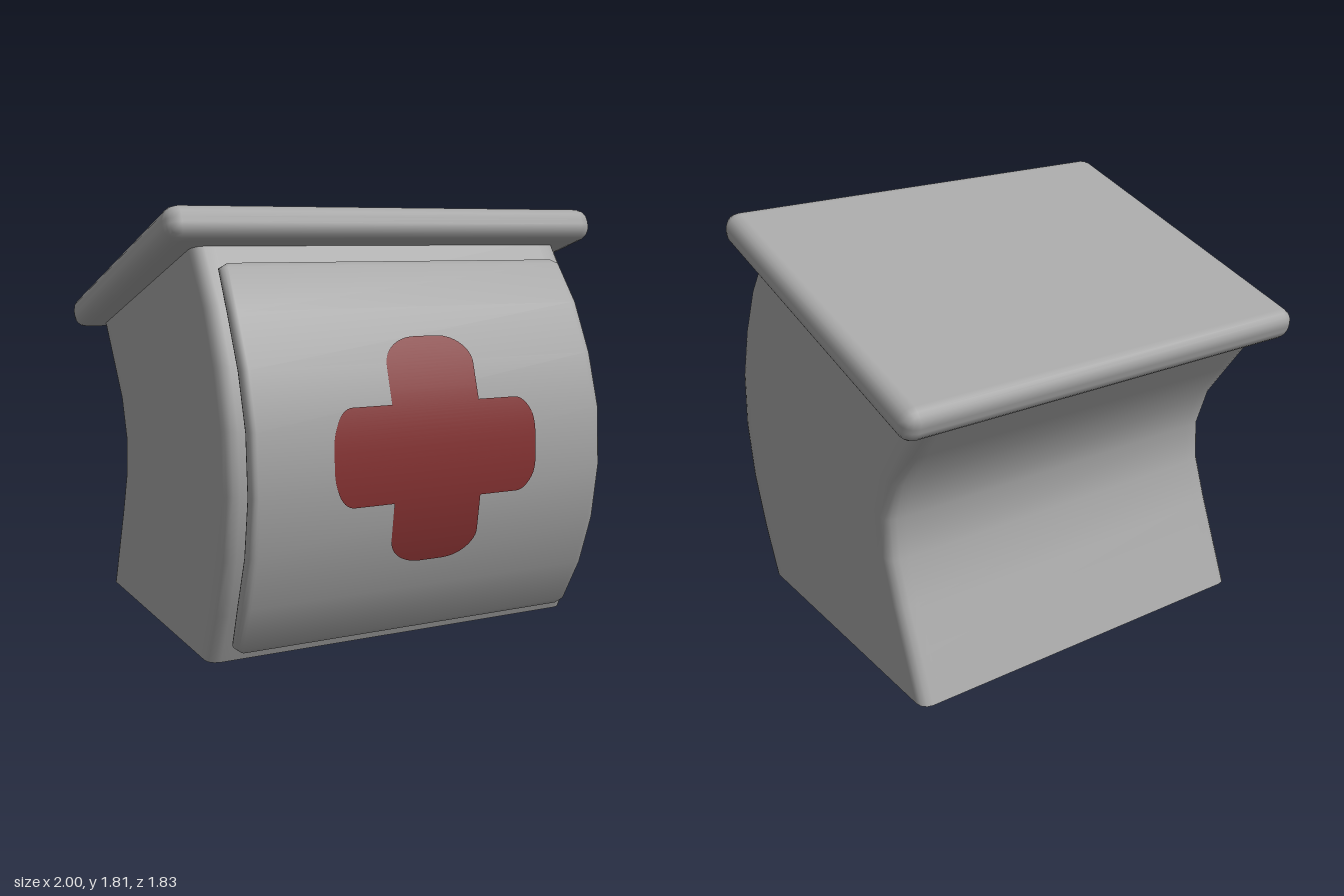
import * as THREE from 'three';
import { toCreasedNormals } from 'three/addons/utils/BufferGeometryUtils.js';
import { RoundedBoxGeometry } from 'three/addons/geometries/RoundedBoxGeometry.js';

// Solid with rounded-rectangle rings spanning a front and a back [z, y] profile.
function loft(front, back, widths, radius) {
  const pos = [], idx = [];
  let n = 0;
  front.forEach(([fz, fy], i) => {
    const [bz, by] = back[i];
    const hw = widths[i];
    const len = Math.hypot(fz - bz, fy - by);
    const r = Math.min(radius, len * 0.45);
    const sup = Math.min(r, len / 2 - r) * 0.9;
    const ring = [];
    for (let c = 0; c < 4; c++) {
      const cx = (c === 0 || c === 3 ? 1 : -1) * (hw - r);
      const cz = (c < 2 ? -1 : 1) * (len / 2 - r);
      for (let k = -1; k <= 4; k++) {
        const a = (c + Math.min(Math.max(k, 0), 3) / 3) * Math.PI / 2;
        const s = k < 0 ? -sup : k > 3 ? sup : 0; // keeps the flat sides flat
        ring.push([cx + r * Math.cos(a) - s * Math.sin(a), cz - r * Math.sin(a) - s * Math.cos(a)]);
      }
    }
    n = ring.length;
    for (const [x, z] of ring) {
      const t = 0.5 + z / len;
      pos.push(x, by + (fy - by) * t, bz + (fz - bz) * t);
    }
  });
  const rows = front.length;
  const bottom = rows * n, top = bottom + 1;
  for (const i of [0, rows - 1]) {
    pos.push(0, (front[i][1] + back[i][1]) / 2, (front[i][0] + back[i][0]) / 2);
  }
  for (let j = 0; j < n; j++) {
    const k = (j + 1) % n;
    for (let i = 0; i < rows - 1; i++) {
      const a = i * n + j, b = i * n + k;
      idx.push(a, b, b + n, a, b + n, a + n);
    }
    idx.push(bottom, k, j, top, (rows - 1) * n + j, (rows - 1) * n + k);
  }
  const geo = new THREE.BufferGeometry();
  geo.setAttribute('position', new THREE.Float32BufferAttribute(pos, 3));
  geo.setIndex(idx);
  return toCreasedNormals(geo, 1.0);
}

// Depth of a [z, y] profile at height y
function depthAt(profile, y) {
  let i = 0;
  while (i < profile.length - 2 && profile[i + 1][1] < y) i++;
  const [z0, y0] = profile[i], [z1, y1] = profile[i + 1];
  return z0 + (z1 - z0) * (y - y0) / (y1 - y0);
}

// Half width at height y of a bar with rounded corners
function barWidth(y, cy, hw, hh, rx, ry) {
  const d = Math.min(1, Math.max(0, (Math.abs(y - cy) - (hh - ry)) / ry));
  return hw - rx + rx * Math.sqrt(1 - d * d);
}

// Thin cross following the curve of the door
function crossGeometry(profile) {
  const pos = [], nor = [], idx = [];
  const upright = y => barWidth(y, 0.843, 0.2, 0.453, 0.15, 0.11);
  const bar = y => barWidth(y, 0.845, 0.465, 0.195, 0.09, 0.15);
  const sections = [[0.39, 0.65, upright], [0.65, 1.04, bar], [1.04, 1.296, upright]];
  const steps = 28;
  for (const [y0, y1, width] of sections) {
    for (let i = 0; i <= steps; i++) {
      const y = y0 + (y1 - y0) * (0.5 - 0.5 * Math.cos(Math.PI * i / steps));
      const z = depthAt(profile, y) + 0.005;
      const slope = (depthAt(profile, y + 0.12) - depthAt(profile, y - 0.12)) / 0.24;
      const m = new THREE.Vector3(0, -slope, 1).normalize();
      const w = width(y), a = pos.length / 3;
      pos.push(-w, y, z, w, y, z);
      nor.push(m.x, m.y, m.z, m.x, m.y, m.z);
      if (i < steps) idx.push(a, a + 1, a + 3, a, a + 3, a + 2);
    }
  }
  const geo = new THREE.BufferGeometry();
  geo.setAttribute('position', new THREE.Float32BufferAttribute(pos, 3));
  geo.setAttribute('normal', new THREE.Float32BufferAttribute(nor, 3));
  geo.setIndex(idx);
  return geo;
}

export function createModel() {
  const group = new THREE.Group();
  const grey = new THREE.MeshStandardMaterial({ color: 0xa6a6a6 });
  grey.name = 'grey';
  const red = new THREE.MeshStandardMaterial({ color: 0x863232 });
  red.name = 'red';
  const add = (name, geo, mat) => {
    const mesh = new THREE.Mesh(geo, mat);
    mesh.name = name;
    group.add(mesh);
    return mesh;
  };

  // Bowed cabinet body
  const bodyFront = [[0.59, 0], [0.69, 0.22], [0.773, 0.46], [0.815, 0.72], [0.8, 0.97], [0.73, 1.21], [0.63, 1.43], [0.46, 1.67]];
  const bodyBack = [[-0.76, 0], [-0.68, 0.19], [-0.6, 0.38], [-0.53, 0.57], [-0.515, 0.75], [-0.575, 0.93], [-0.69, 1.09], [-0.82, 1.27]];
  add('body', loft(bodyFront, bodyBack, bodyFront.map(() => 0.867), 0.05), grey);

  // Curved door panel standing just off the body
  const doorFront = [[0.685, 0.058], [0.705, 0.08], [0.8, 0.27], [0.875, 0.49], [0.91, 0.725], [0.895, 0.975], [0.825, 1.2], [0.72, 1.41], [0.605, 1.575], [0.58, 1.59]];
  const doorBack = [[0.655, 0.062], [0.64, 0.09], [0.725, 0.27], [0.802, 0.48], [0.84, 0.72], [0.825, 0.965], [0.758, 1.185], [0.652, 1.405], [0.54, 1.565], [0.555, 1.582]];
  const doorWidths = doorFront.map((p, i) => [0.765, 0.795][Math.min(i, doorFront.length - 1 - i)] ?? 0.805);
  add('door', loft(doorFront, doorBack, doorWidths, 0.025), grey);

  // Painted cross
  add('cross', crossGeometry(doorFront), red);

  // Tilted roof slab
  const roof = add('roof', new RoundedBoxGeometry(2, 0.143, 1.54, 2, 0.062), grey);
  roof.position.set(0, 1.533, -0.17);
  roof.rotation.x = -0.295;

  return group;
}
